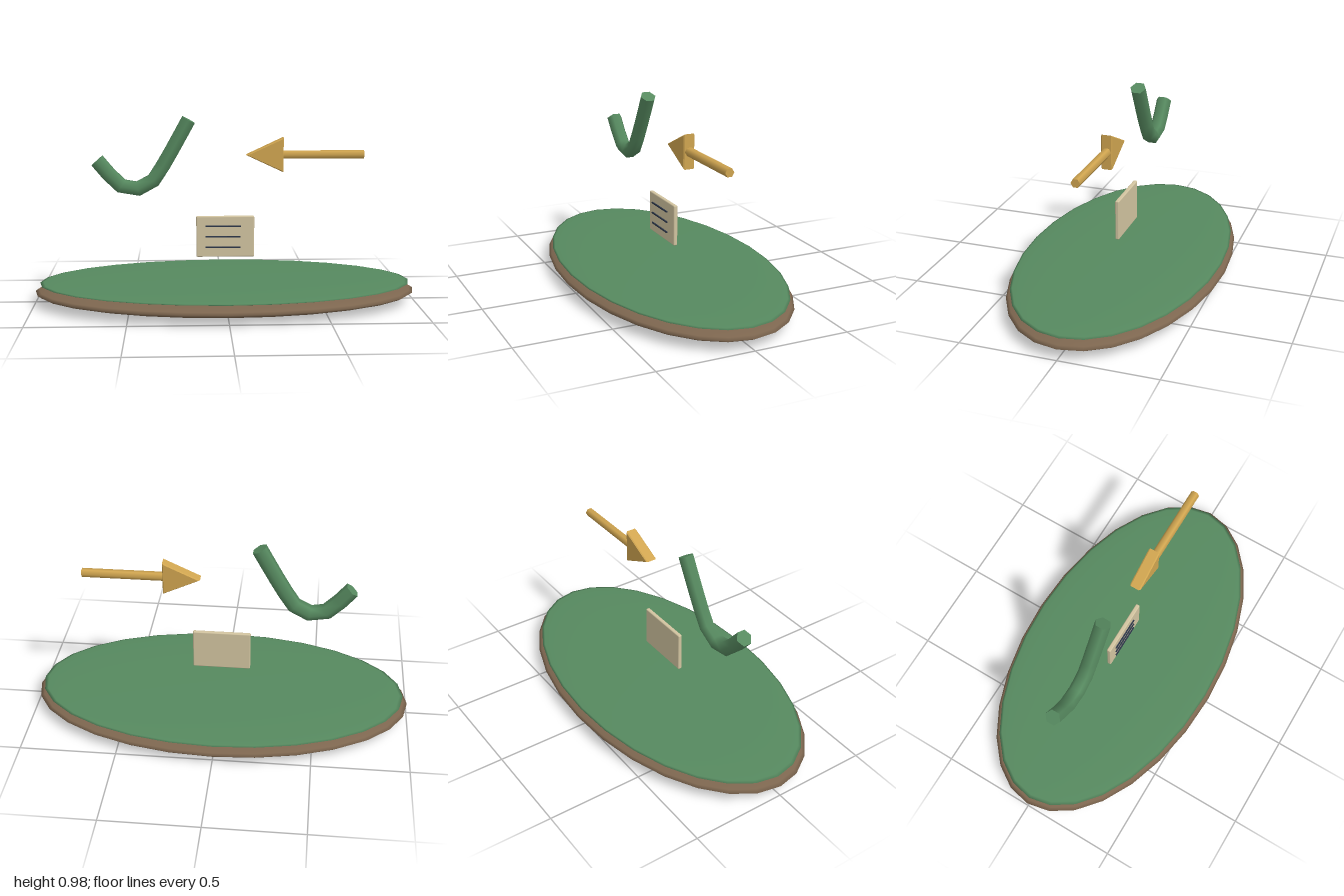
import * as THREE from 'three';
import { RoundedBoxGeometry } from 'three/addons/geometries/RoundedBoxGeometry.js';

const material = (color) => new THREE.MeshStandardMaterial({ color });

export function createModel() {
  const model = new THREE.Group();
  const wood = material(0x7d664f);
  const green = material(0x56895f);
  const gold = material(0xd0a550);
  const paper = material(0xd2c4a0);
  const ink = material(0x2c3648);

  function add(parent, name, geometry, mat, x = 0, y = 0, z = 0) {
    const mesh = new THREE.Mesh(geometry, mat);
    mesh.name = name;
    mesh.position.set(x, y, z);
    parent.add(mesh);
    return mesh;
  }

  // Oval base: two flattened spheres, one resting in the other
  function disc(name, mat, rx, ry, rz, y) {
    add(model, name, new THREE.SphereGeometry(1, 28, 16), mat, 0, y).scale.set(rx, ry, rz);
  }
  disc('baseRim', wood, 1, 0.06, 0.545, 0.06);
  disc('baseTop', green, 0.975, 0.018, 0.525, 0.105);

  // Floating check mark: six-sided tube with capped ends
  const check = new THREE.Group();
  check.name = 'checkMark';
  model.add(check);
  const path = new THREE.CatmullRomCurve3([
    [-0.665, 0.75], [-0.55, 0.622], [-0.487, 0.597], [-0.385, 0.635],
    [-0.305, 0.755], [-0.19, 0.96],
  ].map(([x, y]) => new THREE.Vector3(x, y, 0)));
  const radius = 0.042;
  add(check, 'checkMarkStroke', new THREE.TubeGeometry(path, 8, radius, 6), green);
  for (const end of [0, 1]) {
    const p = path.getPointAt(end);
    const outward = path.getTangentAt(end).multiplyScalar(end ? 1 : -1);
    // corners of the cap point along z, like those of the tube
    const cap = add(check, 'checkMarkCap', new THREE.CircleGeometry(radius, 6, Math.PI / 2), green, p.x, p.y);
    cap.lookAt(p.clone().add(outward));
    cap.rotateZ(Math.PI / 2 * 1);
    cap.rotateZ(-Math.PI / 2 + Math.PI / 6);
  }

  // Arrow pointing right: hexagonal shaft and bevelled triangular head
  const arrow = new THREE.Group();
  arrow.name = 'arrow';
  arrow.position.y = 0.776;
  model.add(arrow);
  add(arrow, 'arrowShaft', new THREE.CylinderGeometry(0.0235, 0.0235, 0.435, 6), gold, 0.5075)
    .rotation.z = Math.PI / 2;
  const bevel = 0.006;
  const tip = new THREE.Shape([
    new THREE.Vector2(0.118, 0),
    new THREE.Vector2(0.298, -0.083),
    new THREE.Vector2(0.298, 0.083),
  ]);
  const head = new THREE.ExtrudeGeometry(tip, {
    depth: 0.06 - 2 * bevel, bevelThickness: bevel, bevelSize: bevel, bevelSegments: 1,
  });
  add(arrow, 'arrowHead', head, gold, 0, 0, -0.03 + bevel);

  // Standing note card with three ruled lines on its front
  const card = new THREE.Group();
  card.name = 'noteCard';
  card.position.y = 0.345;
  model.add(card);
  add(card, 'cardSheet', new RoundedBoxGeometry(0.305, 0.217, 0.022, 2, 0.006), paper);
  for (const y of [0.056, 0, -0.056]) {
    add(card, 'cardLine', new THREE.BoxGeometry(0.185, 0.007, 0.007), ink, -0.012, y, 0.0165);
  }

  return model;
}
